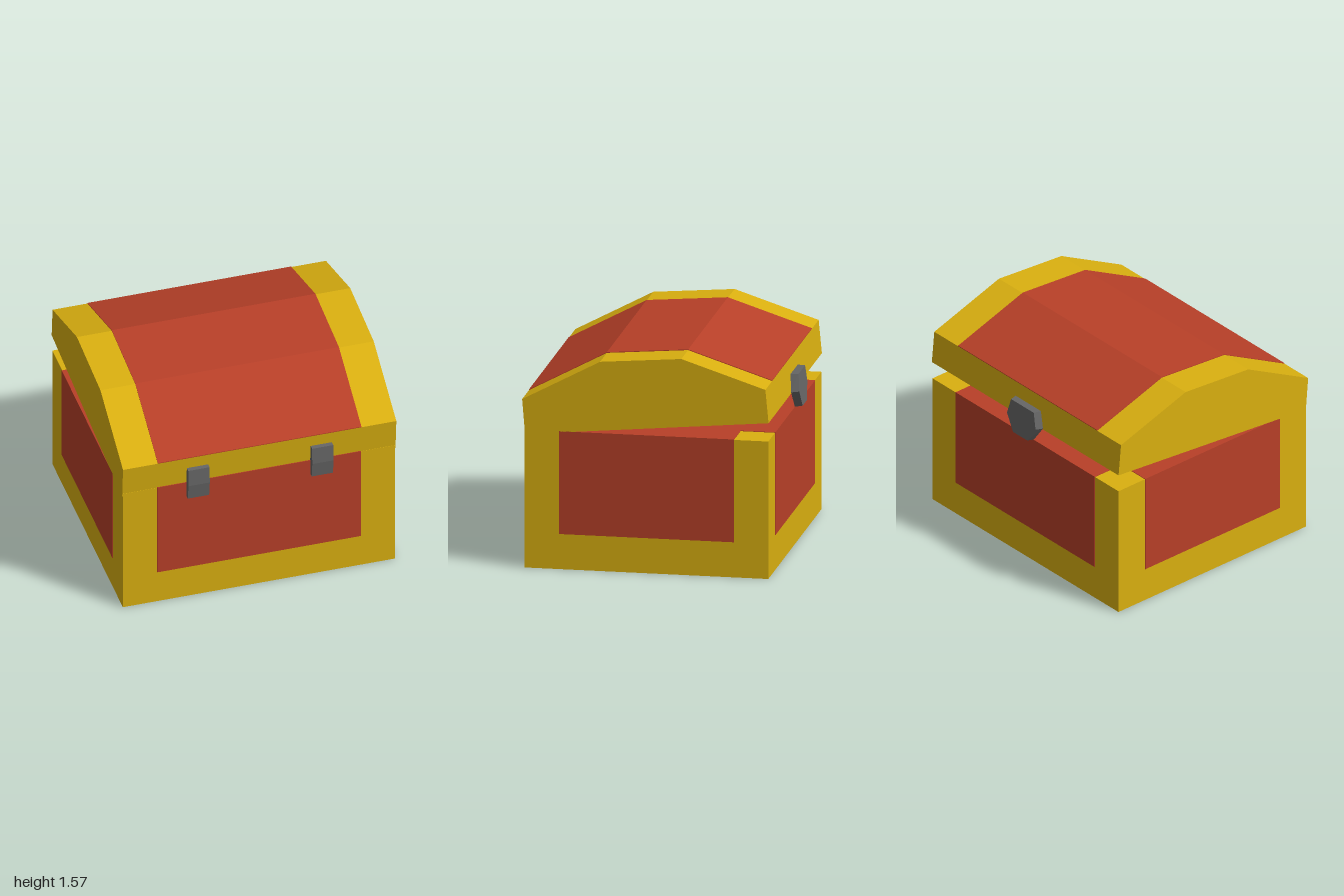
import * as THREE from 'three';

const gold = new THREE.MeshStandardMaterial({ color: 0xdab010 });
gold.name = 'gold trim';
const red = new THREE.MeshStandardMaterial({ color: 0xb84028 });
red.name = 'red panel';
const iron = new THREE.MeshStandardMaterial({ color: 0x666666 });
iron.name = 'iron';

// Prism along x from a side profile of [z, y] points
function prism(points, x0, x1) {
  const shape = new THREE.Shape(points.map(([z, y]) => new THREE.Vector2(-z, y)));
  const geo = new THREE.ExtrudeGeometry(shape, { depth: x1 - x0, bevelEnabled: false });
  return geo.rotateY(Math.PI / 2).translate(x0, 0, 0);
}

// Box given by its minimum and maximum corners
function block(a, b) {
  return new THREE.BoxGeometry(b[0] - a[0], b[1] - a[1], b[2] - a[2])
    .translate((a[0] + b[0]) / 2, (a[1] + b[1]) / 2, (a[2] + b[2]) / 2);
}

export function createModel() {
  const model = new THREE.Group();
  model.name = 'chest';
  const add = (name, geo, mat, parent = model) => {
    const mesh = new THREE.Mesh(geo, mat);
    mesh.name = name;
    parent.add(mesh);
    return mesh;
  };

  // Body with thin red panels on the four walls and a red cross on the rim
  const back = -0.86, front = 0.88, t = 0.004;
  const px = 0.745, pz0 = -0.615, pz1 = 0.635, py = 0.255;
  add('body', block([-1 + t, 0, back], [1 - t, 1 - t, front]), gold);
  add('frontPanel', block([-px, py, front - t], [px, 1, front + t]), red);
  add('backPanel', block([-px, py, back - t], [px, 1, back + t]), red);
  for (const s of [-1, 1]) {
    const side = s > 0 ? 'left' : 'right';
    const xs = [s * (1 - 2 * t), s].sort((a, b) => a - b);
    add(side + 'Panel', block([xs[0], py, pz0], [xs[1], 1, pz1]), red);
    const rim = [s * px, s].sort((a, b) => a - b);
    add(side + 'RimPanel', block([rim[0], 1 - 2 * t, pz0], [rim[1], 1, pz1]), red);
  }
  add('topPanel', block([-px, 1 - 2 * t, back], [px, 1, front]), red);

  // Lid, tipped slightly open at the back
  const roof = [[0.897, 1.22], [0.34, 1.517], [-0.24, 1.565], [-0.84, 1.37]];
  add('lid', prism([[0.876, 0.968], ...roof, [-0.863, 1.13]], -1, 1), gold);
  const lifted = roof.map(([z, y]) => [z, y + 0.005]).reverse();
  add('lidPanel', prism([...roof, ...lifted], -px, px), red);

  // Plate beneath the lid
  add('lidInnerPlate', prism([[0.6, 1.0], [-0.57, 1.108], [-0.572, 1.08], [0.6, 0.97]], -0.75, 0.75), iron);

  // Front clasps
  const clasp = [[0.87, 0.88], [0.915, 0.88], [0.931, 1.0], [0.925, 1.13], [0.87, 1.13]];
  for (const s of [-1, 1]) {
    add(s > 0 ? 'leftClasp' : 'rightClasp', prism(clasp, s * 0.453 - 0.078, s * 0.453 + 0.078), iron);
  }

  // Six-sided lock on the back of the lid, narrowing a little outwards
  const hexagon = [[-0.135, 0.125], [0.135, 0.125], [0.17, 0.0], [0.085, -0.125], [-0.085, -0.125], [-0.17, 0.0]];
  const lockGeo = new THREE.ExtrudeGeometry(
    new THREE.Shape(hexagon.map(([x, y]) => new THREE.Vector2(x, y))),
    { depth: 0.055, bevelEnabled: false });
  const pos = lockGeo.attributes.position;
  for (let i = 0; i < pos.count; i++) {
    if (pos.getZ(i) > 0.01) pos.setXY(i, pos.getX(i) * 0.9, pos.getY(i) * 0.97);
  }
  lockGeo.computeVertexNormals();
  const lock = add('backLock', lockGeo, iron);
  lock.position.set(-0.02, 1.137, -0.862);
  lock.rotation.set(-0.085, Math.PI, 0, 'XYZ');
  lock.rotation.x = 0.085;

  return model;
}
